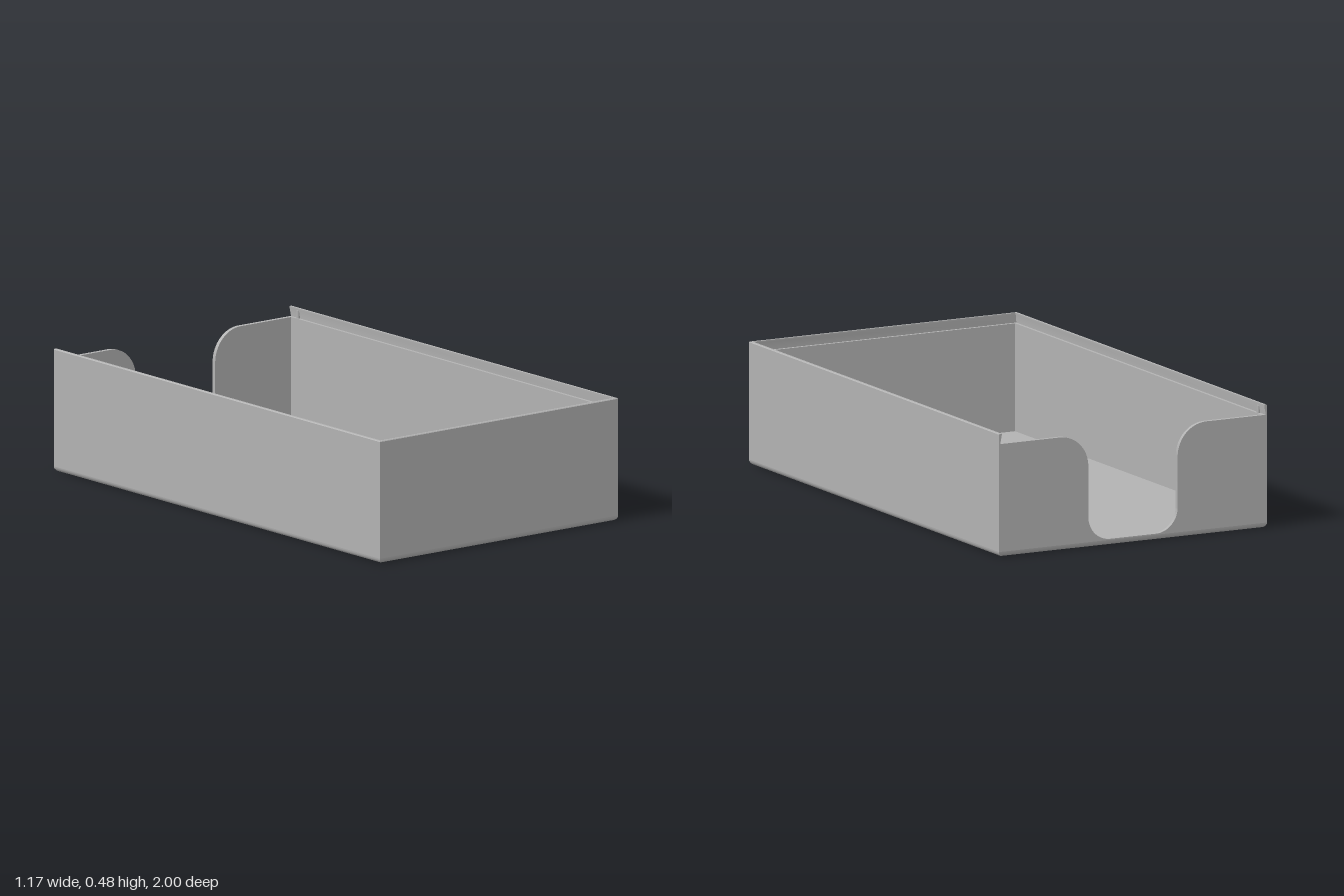
import * as THREE from 'three';
import { toCreasedNormals } from 'three/addons/utils/BufferGeometryUtils.js';

const W = 0.585, L = 1, H = 0.482, FLOOR = 0.02, WALL = 0.018, BACK_TOP = 0.442;

// Sweeps a profile of [inset, y] points past the corners of the box.
// A corner is [x sign, z sign, whether z follows the inset].
function sweep(profile, corners, closed) {
  const pos = [], idx = [], n = profile.length, m = corners.length;
  for (const [sx, sz, inset] of corners) {
    for (const [d, y] of profile) pos.push(sx * (W - d), y, sz * (inset ? L - d : L));
  }
  for (let i = 0; i < (closed ? m : m - 1); i++) {
    for (let j = 0; j < n - 1; j++) {
      const a = i * n + j, b = ((i + 1) % m) * n + j;
      idx.push(a, a + 1, b + 1, a, b + 1, b);
    }
  }
  const g = new THREE.BufferGeometry();
  g.setAttribute('position', new THREE.Float32BufferAttribute(pos, 3));
  g.setIndex(idx);
  return toCreasedNormals(g, 0.6);
}

export function createModel() {
  const group = new THREE.Group();
  const grey = new THREE.MeshStandardMaterial({ color: 0xb2b2b2 });
  grey.name = 'grey plastic';
  const add = (geometry, name) => {
    const mesh = new THREE.Mesh(geometry, grey);
    mesh.name = name;
    group.add(mesh);
    return mesh;
  };

  // Rounded bottom edge
  const round = [];
  for (let i = 0; i <= 6; i++) {
    const a = (i / 6) * Math.PI / 2;
    round.push([FLOOR * (1 - Math.sin(a)), FLOOR * (1 - Math.cos(a))]);
  }
  add(sweep(round, [[1, -1, true], [1, 1, true], [-1, 1, true], [-1, -1, true]], true), 'bottomEdge');

  // Underside and inner floor
  const under = new THREE.PlaneGeometry(2 * (W - FLOOR), 2 * (L - FLOOR));
  add(under.rotateX(Math.PI / 2), 'underside');
  const floor = new THREE.PlaneGeometry(2 * W, 2 * L);
  add(floor.rotateX(-Math.PI / 2).translate(0, FLOOR, 0), 'floor');

  // Side and front walls, with the lid groove below the rim
  const wall = [
    [0, FLOOR], [0, H - 0.003], [0.003, H], [0.012, H], [0.012, H - 0.006],
    [0.006, BACK_TOP + 0.004], [0.006, BACK_TOP], [WALL, BACK_TOP], [WALL, FLOOR],
  ];
  add(sweep(wall, [[1, -1, false], [1, 1, true], [-1, 1, true], [-1, -1, false]], false), 'walls');

  for (const s of [1, -1]) {
    const side = s > 0 ? 'left' : 'right';
    // Back ends of the side walls
    const end = new THREE.Shape(wall.map(([d, y]) => new THREE.Vector2(-s * (W - d), y)));
    add(new THREE.ShapeGeometry(end).rotateY(Math.PI).translate(0, 0, -L), side + 'WallEnd');
    // Small catch for the lid in the groove
    const catchBump = new THREE.CylinderGeometry(0.007, 0.007, 0.03, 12);
    add(catchBump.translate(s * (W - 0.01), BACK_TOP + 0.015, -0.95), side + 'LidCatch');
  }

  // Lower back wall with the rounded thumb cutout
  const half = 0.195, rTop = 0.125, rLow = 0.095, low = FLOOR + 0.004, in_ = W - WALL;
  const back = new THREE.Shape();
  back.moveTo(-in_, FLOOR);
  back.lineTo(in_, FLOOR);
  back.lineTo(in_, BACK_TOP);
  back.lineTo(half + rTop, BACK_TOP);
  back.absarc(half + rTop, BACK_TOP - rTop, rTop, Math.PI / 2, Math.PI, false);
  back.lineTo(half, low + rLow);
  back.absarc(half - rLow, low + rLow, rLow, 0, -Math.PI / 2, true);
  back.lineTo(-half + rLow, low);
  back.absarc(-half + rLow, low + rLow, rLow, -Math.PI / 2, -Math.PI, true);
  back.lineTo(-half, BACK_TOP - rTop);
  back.absarc(-half - rTop, BACK_TOP - rTop, rTop, 0, Math.PI / 2, false);
  back.lineTo(-in_, BACK_TOP);
  const backGeo = new THREE.ExtrudeGeometry(back, { depth: 0.016, bevelEnabled: false, curveSegments: 16 });
  add(toCreasedNormals(backGeo.translate(0, 0, -L), 0.6), 'backWall');

  return group;
}
